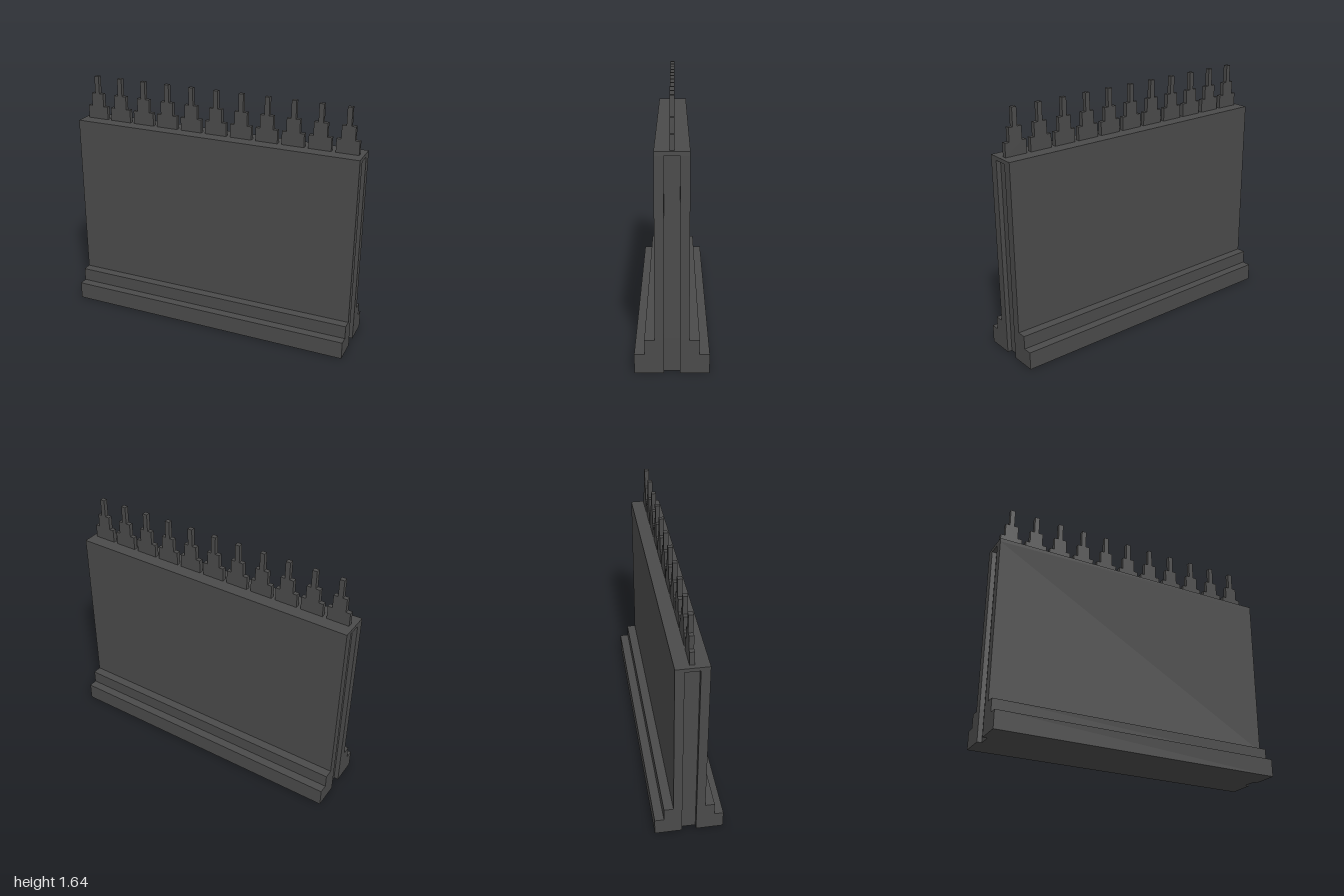
import * as THREE from 'three';

const GROOVE_HALF = 0.0465;  // half width of the slot in each end
const GROOVE_DEPTH = 0.03;

// Slab with a slot in both ends, extruded upward from y0 to y1
function slottedSlab(name, halfDepth, y0, y1, material) {
  const inner = 1 - GROOVE_DEPTH;
  const shape = new THREE.Shape([
    [-1, -halfDepth], [1, -halfDepth],
    [1, -GROOVE_HALF], [inner, -GROOVE_HALF], [inner, GROOVE_HALF], [1, GROOVE_HALF],
    [1, halfDepth], [-1, halfDepth],
    [-1, GROOVE_HALF], [-inner, GROOVE_HALF], [-inner, -GROOVE_HALF], [-1, -GROOVE_HALF],
  ].map(([x, z]) => new THREE.Vector2(x, z)));
  const geometry = new THREE.ExtrudeGeometry(shape, { depth: y1 - y0, bevelEnabled: false });
  geometry.rotateX(-Math.PI / 2);
  geometry.translate(0, y0, 0);
  const mesh = new THREE.Mesh(geometry, material);
  mesh.name = name;
  return mesh;
}

// Stepped spike outline, extruded through its thickness
function spikeGeometry() {
  const tiers = [[0.075, 0, 0.09], [0.045, 0.09, 0.18], [0.016, 0.18, 0.3]];
  const right = tiers.flatMap(([w, y0, y1]) => [[w, y0], [w, y1]]);
  const left = right.map(([x, y]) => [-x, y]).reverse();
  const shape = new THREE.Shape([...right, ...left].map(([x, y]) => new THREE.Vector2(x, y)));
  const geometry = new THREE.ExtrudeGeometry(shape, { depth: 0.03, bevelEnabled: false });
  geometry.translate(0, 0, -0.015);
  return geometry;
}

export function createModel() {
  const model = new THREE.Group();
  model.name = 'spikedWall';
  const stone = new THREE.MeshStandardMaterial({ color: 0x4a4a4a });
  stone.name = 'darkGrey';

  // Stepped foot and wall panel
  model.add(
    slottedSlab('foot', 0.224, 0, 0.12, stone),
    slottedSlab('footStep', 0.164, 0.12, 0.21, stone),
    slottedSlab('wall', 0.103, 0.21, 1.32, stone),
  );

  // Solid coping closing the end slots
  const coping = new THREE.Mesh(new THREE.BoxGeometry(2, 0.025, 0.206), stone);
  coping.name = 'coping';
  coping.position.y = 1.3325;
  model.add(coping);

  // Row of spikes along the top
  const spikes = new THREE.Group();
  spikes.name = 'spikes';
  const geometry = spikeGeometry();
  for (let i = -5; i <= 5; i++) {
    const spike = new THREE.Mesh(geometry, stone);
    spike.name = 'spike';
    spike.position.set(i * 0.179, 1.345, 0);
    spikes.add(spike);
  }
  model.add(spikes);
  return model;
}
